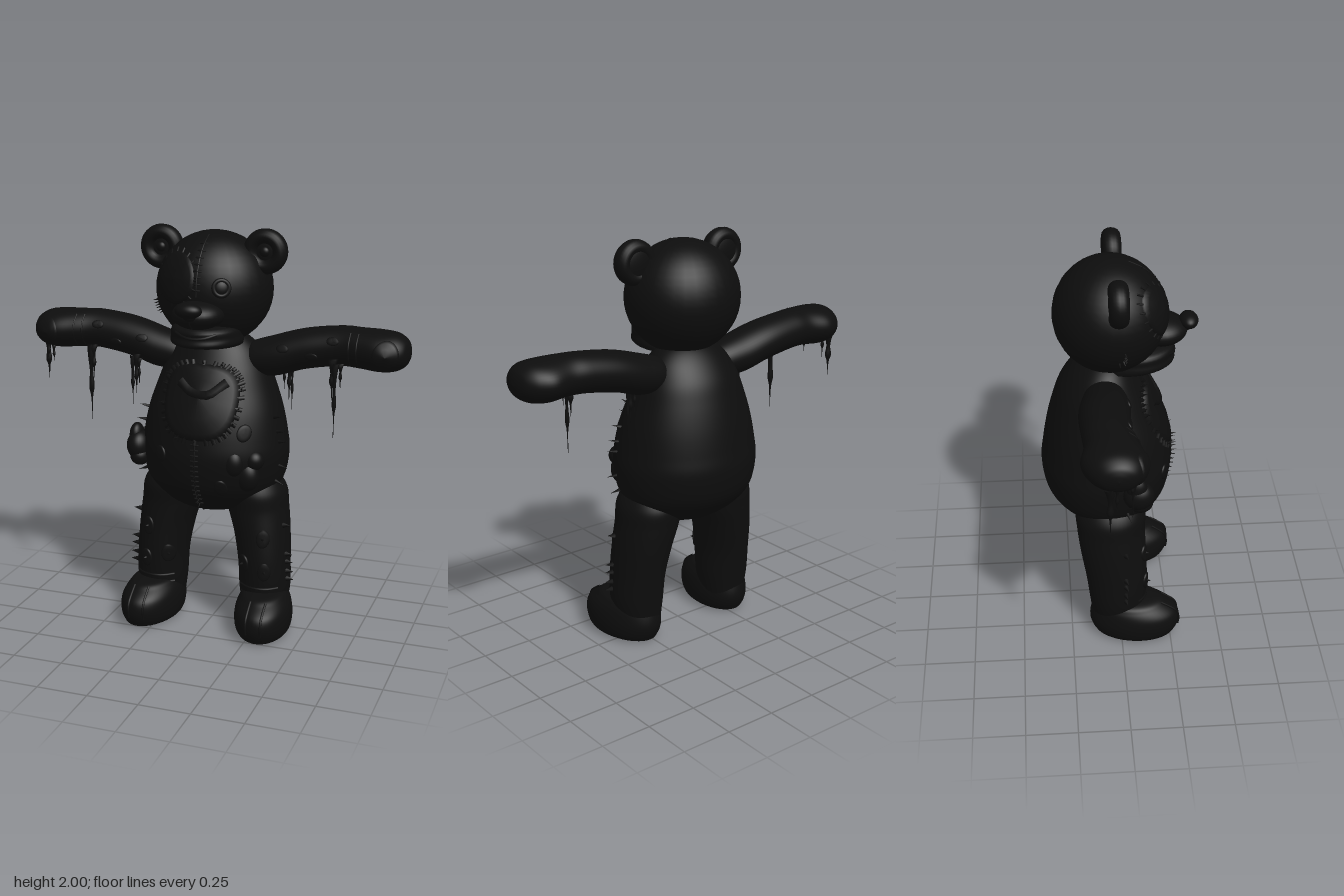
import * as THREE from 'three';

const V = (x, y, z) => new THREE.Vector3(x, y, z);
const fur = new THREE.MeshStandardMaterial({ color: 0x0d0d0d });
const thin = new THREE.MeshStandardMaterial({ color: 0x0d0d0d, side: THREE.DoubleSide });

function add(parent, name, geometry, material = fur) {
  const mesh = new THREE.Mesh(geometry, material);
  mesh.name = name;
  parent.add(mesh);
  return mesh;
}

// Smooth body of elliptical rings stacked along y: rows of [y, cx, cz, rx, rz]
function loft(rows, steps = 60, sides = 48) {
  const mid = new THREE.CatmullRomCurve3(rows.map(r => V(r[1], r[0], r[2])), false, 'catmullrom');
  const rad = new THREE.CatmullRomCurve3(rows.map(r => V(r[3], 0, r[4])), false, 'catmullrom');
  const pos = [], index = [];
  for (let i = 0; i <= steps; i++) {
    const c = mid.getPoint(i / steps), r = rad.getPoint(i / steps);
    for (let j = 0; j < sides; j++) {
      const a = j / sides * Math.PI * 2;
      pos.push(c.x + Math.max(r.x, 0.0005) * Math.sin(a), c.y, c.z + Math.max(r.z, 0.0005) * Math.cos(a));
      if (i < steps) {
        const p = i * sides + j, q = i * sides + (j + 1) % sides;
        index.push(p, q, q + sides, p, q + sides, p + sides);
      }
    }
  }
  const g = new THREE.BufferGeometry();
  g.setAttribute('position', new THREE.Float32BufferAttribute(pos, 3));
  g.setIndex(index);
  g.computeVertexNormals();
  return g;
}

const ball = (x, y, z, rx, ry, rz) => new THREE.SphereGeometry(1, 32, 24).scale(rx, ry, rz).translate(x, y, z);

// Point and normal on a mesh, seen along a direction (from the front by default)
const ray = new THREE.Raycaster();
function touch(mesh, x, y, dir = V(0, 0, -1), z = 0) {
  ray.set(V(x, y, z).addScaledVector(dir, -2), dir);
  const hit = ray.intersectObject(mesh)[0];
  return hit ? { p: hit.point, n: hit.face.normal.clone() } : null;
}

// Padded patch laid over a surface; outline(a) gives the [dx, dy] of its edge
function patch(parent, name, mesh, x, y, outline, lift) {
  const pos = [], index = [], sides = 36, levels = [[0.01, 1], [0.5, 1], [0.85, 0.9], [1, 0.6], [1.05, -0.6]];
  levels.forEach(([s, h], i) => {
    for (let j = 0; j < sides; j++) {
      const [dx, dy] = outline(j / sides * Math.PI * 2);
      const t = touch(mesh, x + dx * s, y + dy * s);
      const p = t ? t.p.addScaledVector(t.n, h * lift) : V(x + dx * s, y + dy * s, 0);
      pos.push(p.x, p.y, p.z);
      if (i < levels.length - 1) {
        const a = i * sides + j, b = i * sides + (j + 1) % sides;
        index.push(a, a + sides, b + sides, a, b + sides, b);
      }
    }
  });
  const g = new THREE.BufferGeometry();
  g.setAttribute('position', new THREE.Float32BufferAttribute(pos, 3));
  g.setIndex(index);
  g.computeVertexNormals();
  return add(parent, name, g, thin);
}
const oval = (rx, ry) => a => [rx * Math.cos(a), ry * Math.sin(a)];

// Thread lying on a surface through [x, y] points
function thread(parent, name, mesh, points, r = 0.004) {
  const pts = points.map(([x, y]) => touch(mesh, x, y)).filter(Boolean).map(t => t.p.addScaledVector(t.n, r * 0.4));
  if (pts.length > 1) add(parent, name, new THREE.TubeGeometry(new THREE.CatmullRomCurve3(pts), 12, r, 6));
}

// Small spike standing on a surface
function spike(parent, t, length, r = 0.006) {
  if (!t) return;
  const m = add(parent, 'looseThread', new THREE.ConeGeometry(r, length, 6));
  m.position.copy(t.p).addScaledVector(t.n, length * 0.35);
  m.quaternion.setFromUnitVectors(V(0, 1, 0), t.n);
}

export function createModel() {
  const bear = new THREE.Group();
  bear.name = 'tatteredBear';

  // Torso
  const torso = add(bear, 'torso', loft([
    [0.59, 0, -0.04, 0, 0], [0.6, 0, -0.04, 0.1, 0.09], [0.64, 0, -0.04, 0.21, 0.185], [0.7, 0, -0.05, 0.3, 0.25],
    [0.78, 0, -0.055, 0.35, 0.3], [0.9, 0, -0.055, 0.37, 0.32], [1.0, 0, -0.055, 0.36, 0.31],
    [1.12, 0, -0.06, 0.335, 0.285], [1.24, 0, -0.07, 0.295, 0.245], [1.34, 0, -0.075, 0.255, 0.205],
    [1.43, 0, -0.07, 0.2, 0.15], [1.49, 0, -0.06, 0.12, 0.09], [1.52, 0, -0.06, 0, 0]], 84, 64));

  // Head, muzzle, jaw and nose
  const head = add(bear, 'head', ball(0, 1.705, -0.035, 0.285, 0.275, 0.268));
  const muzzle = add(bear, 'muzzle', ball(0, 1.615, 0.2, 0.125, 0.07, 0.13));
  const jaw = add(bear, 'jaw', loft([
    [1.44, 0, 0.0, 0, 0], [1.448, 0, 0.03, 0.14, 0.15], [1.465, 0, 0.07, 0.17, 0.195],
    [1.5, 0, 0.08, 0.17, 0.185], [1.55, 0, 0.07, 0.15, 0.18], [1.58, 0, 0.05, 0, 0]], 30));
  add(bear, 'nose', ball(0, 1.655, 0.335, 0.065, 0.036, 0.045));
  add(bear, 'noseTip', ball(0, 1.63, 0.31, 0.035, 0.03, 0.045));
  thread(bear, 'philtrum', muzzle, [[0, 1.63], [0, 1.61], [0, 1.585], [0, 1.565]]);
  thread(bear, 'mouth', jaw, [-0.1, -0.05, 0, 0.05, 0.1].map(x => [x, 1.51 + x * x * 2]), 0.007);

  // Ears with a rolled rim and sunken middle
  for (const s of [-1, 1]) {
    const ear = new THREE.Group();
    ear.name = s > 0 ? 'leftEar' : 'rightEar';
    ear.position.set(s * 0.26, 1.892, -0.01);
    bear.add(ear);
    add(ear, 'earRim', new THREE.TorusGeometry(0.072, 0.036, 16, 40).scale(1, 1, 1.25));
    add(ear, 'earBack', ball(0, 0, -0.012, 0.095, 0.095, 0.034));
    add(ear, 'earKnot', ball(0, 0, 0.015, 0.025, 0.025, 0.02));
  }

  // Eye, eye patch and head seam
  patch(bear, 'eyePatch', head, -0.115, 1.775, oval(0.1, 0.115), 0.012);
  for (let i = 0; i < 18; i++) {
    const a = i / 18 * Math.PI * 2, c = Math.cos(a), d = Math.sin(a);
    thread(bear, 'eyePatchStitch', head, [0.9, 1.03, 1.16].map(k => [-0.115 + 0.1 * k * c, 1.775 + 0.115 * k * d]), 0.005);
  }
  const eye = touch(head, 0.115, 1.745);
  const button = add(bear, 'buttonEye', new THREE.TorusGeometry(0.036, 0.011, 10, 32));
  const pupil = add(bear, 'pupil', ball(0, 0, 0, 0.034, 0.034, 0.014));
  for (const m of [button, pupil]) {
    m.position.copy(eye.p);
    m.quaternion.setFromUnitVectors(V(0, 0, 1), eye.n);
  }
  thread(bear, 'headSeam', head, [1.7, 1.76, 1.82, 1.88, 1.93, 1.965].map(y => [0, y]));
  for (let i = 0; i < 8; i++) thread(bear, 'headStitch', head, [-0.02, 0, 0.02].map(x => [x, 1.73 + i * 0.029]));
  for (let i = 0; i < 6; i++) spike(bear, touch(head, -0.25 - i * 0.004, 1.58 + i * 0.012), 0.035);

  // Chest pocket patch with coarse stitches, and belly seam
  const pocket = a => {
    const c = Math.cos(a), d = Math.sin(a);
    return [0.18 * Math.sign(c) * Math.abs(c) ** 0.7, (d > 0 ? 0.145 : 0.195) * Math.sign(d) * Math.abs(d) ** 0.8];
  };
  patch(bear, 'chestPatch', torso, 0, 1.21, pocket, 0.022);
  thread(bear, 'chestFold', torso, [[-0.1, 1.27], [-0.04, 1.23], [0.04, 1.22], [0.12, 1.28]], 0.026);
  for (let i = 0; i < 36; i++) {
    const [dx, dy] = pocket(i / 36 * Math.PI * 2);
    thread(bear, 'chestStitch', torso, [0.93, 1.02, 1.12].map(k => [dx * k, 1.21 + dy * k]), 0.011);
    if (i % 2) spike(bear, touch(torso, dx * 1.03, 1.21 + dy * 1.03), 0.05, 0.008);
  }
  thread(bear, 'bellySeam', torso, [1.0, 0.92, 0.84, 0.76, 0.68, 0.63].map(y => [0, y]), 0.005);
  for (let i = 0; i < 13; i++) {
    const y = 0.68 + i * 0.026;
    thread(bear, 'bellyStitch', torso, [-0.02, 0, 0.02].map(x => [x, y]), 0.005);
    spike(bear, touch(torso, 0, y), 0.04);
  }

  // Stuffing bursting out of both flanks
  for (const [x, y, z, rx, ry, rz] of [
    [-0.36, 0.91, 0.08, 0.06, 0.075, 0.075], [-0.375, 0.96, 0.07, 0.035, 0.06, 0.05], [-0.35, 0.86, 0.09, 0.05, 0.05, 0.06],
    [0.17, 0.9, 0.19, 0.055, 0.07, 0.05], [0.23, 0.83, 0.155, 0.06, 0.075, 0.05], [0.26, 0.91, 0.14, 0.05, 0.05, 0.05]])
    add(bear, 'stuffing', ball(x, y, z, rx, ry, rz));
  for (const s of [-1, 1]) for (const y of [0.78, 0.86, 0.98, 1.03, 1.1])
    spike(bear, touch(torso, 0, y, V(-s, 0, 0), 0.03), 0.06, 0.01);
  for (const [x, y] of [[-0.19, 0.92], [0.12, 0.78], [0.22, 1.05]]) patch(bear, 'tornPatch', torso, x, y, oval(0.03, 0.04), 0.008);

  for (const s of [-1, 1]) {
    const side = s > 0 ? 'left' : 'right';

    // Arm with swollen paw, lofted upright and turned sideways
    const arm = add(bear, side + 'Arm', loft([
      [0.13, 1.355, -0.07, 0, 0], [0.15, 1.36, -0.07, 0.07, 0.08], [0.3, 1.385, -0.075, 0.1, 0.115], [0.45, 1.427, -0.085, 0.099, 0.118],
      [0.62, 1.452, -0.085, 0.096, 0.112], [0.72, 1.452, -0.07, 0.096, 0.122], [0.82, 1.447, -0.065, 0.098, 0.145],
      [0.89, 1.447, -0.06, 0.09, 0.125], [0.935, 1.447, -0.055, 0.065, 0.088], [0.953, 1.447, -0.055, 0.035, 0.045],
      [0.96, 1.447, -0.055, 0, 0]].map(([x, y, z, ry, rz]) => [x, -s * y, z, ry, rz])).rotateZ(-s * Math.PI / 2));
    patch(bear, 'pawPad', arm, s * 0.86, 1.445, oval(0.06, 0.07), 0.006);
    for (const x of [0.68, 0.72]) thread(bear, 'wristCrease', arm, [1.38, 1.42, 1.46, 1.5, 1.53].map(y => [s * x, y]));
    for (const [x, y] of [[0.36, 1.44], [0.5, 1.41], [0.6, 1.49]]) patch(bear, 'tornPatch', arm, s * x, y, oval(0.03, 0.018), 0.006);

    // Leg
    const leg = add(bear, side + 'Leg', loft([
      [0.06, 0.27, -0.02, 0.1, 0.12], [0.2, 0.275, -0.015, 0.126, 0.14], [0.35, 0.27, -0.02, 0.13, 0.153],
      [0.5, 0.252, -0.035, 0.14, 0.163], [0.62, 0.228, -0.045, 0.152, 0.168], [0.72, 0.215, -0.045, 0.15, 0.17],
      [0.8, 0.2, -0.04, 0.1, 0.12], [0.83, 0.2, -0.04, 0, 0]].map(r => [r[0], s * r[1], ...r.slice(2)])));

    // Foot with flat sole and toe creases, turned slightly outward
    const foot = add(bear, side + 'Foot', loft([
      [0, 0, 0, 0, 0], [0.004, 0, 0.0, 0.1, 0.175], [0.025, 0, 0.0, 0.132, 0.208], [0.08, 0, 0.0, 0.143, 0.228],
      [0.14, 0, -0.002, 0.138, 0.22], [0.185, 0, -0.02, 0.12, 0.185], [0.212, 0, -0.03, 0.09, 0.14],
      [0.222, 0, -0.03, 0, 0]]).rotateY(s * 0.13).translate(s * 0.295, 0, 0.07));
    for (const x of [-0.045, 0.03]) thread(bear, 'toeCrease', foot, [0.06, 0.1, 0.14, 0.18, 0.2].map(y => [s * (0.315 + x), y]), 0.006);

    // Torn patches and frayed edges on the leg
    for (const [x, y] of [[0.3, 0.5], [0.2, 0.36], [0.31, 0.33]]) {
      patch(bear, 'tornPatch', leg, s * x, y, oval(0.03, 0.045), 0.008);
      spike(bear, touch(leg, s * x, y), 0.03, 0.012);
    }
    for (const y of [0.27, 0.31, 0.36, 0.4, 0.55]) spike(bear, touch(leg, 0, y, V(-s, 0, 0), 0.02), 0.045, 0.016);
    for (const y of [0.2, 0.24]) thread(bear, 'ankleCrease', leg, [0.18, 0.23, 0.28, 0.33, 0.37].map(x => [s * x, y]), 0.006);
  }

  // Strands dripping from the arms: [x, start y, z, length, radius]
  for (const [x, y, z, l, r] of [
    [-0.93, 1.4, -0.09, 0.24, 0.018], [-0.915, 1.4, -0.06, 0.15, 0.01], [-0.85, 1.37, 0.01, 0.09, 0.009],
    [-0.635, 1.39, 0.03, 0.39, 0.016], [-0.62, 1.39, 0.03, 0.17, 0.014], [-0.41, 1.35, 0.03, 0.25, 0.011],
    [-0.39, 1.36, 0.03, 0.2, 0.014], [-0.375, 1.34, 0.03, 0.14, 0.009],
    [0.335, 1.34, -0.1, 0.13, 0.009], [0.36, 1.35, -0.1, 0.19, 0.013], [0.375, 1.34, -0.1, 0.23, 0.008],
    [0.605, 1.41, 0.03, 0.2, 0.016], [0.62, 1.39, 0.04, 0.36, 0.012], [0.645, 1.39, 0.03, 0.12, 0.01]])
    add(bear, 'drip', loft([[y - l, x, z, 0.001, 0.001], [y - l * 0.7, x, z, r * 0.3, r * 0.3], [y - l * 0.55, x, z, r * 0.9, r * 0.9],
      [y - l * 0.35, x, z, r * 0.55, r * 0.55], [y - l * 0.15, x, z, r, r], [y, x, z - 0.01, r * 1.6, r * 1.3]], 20, 8));

  return bear;
}
